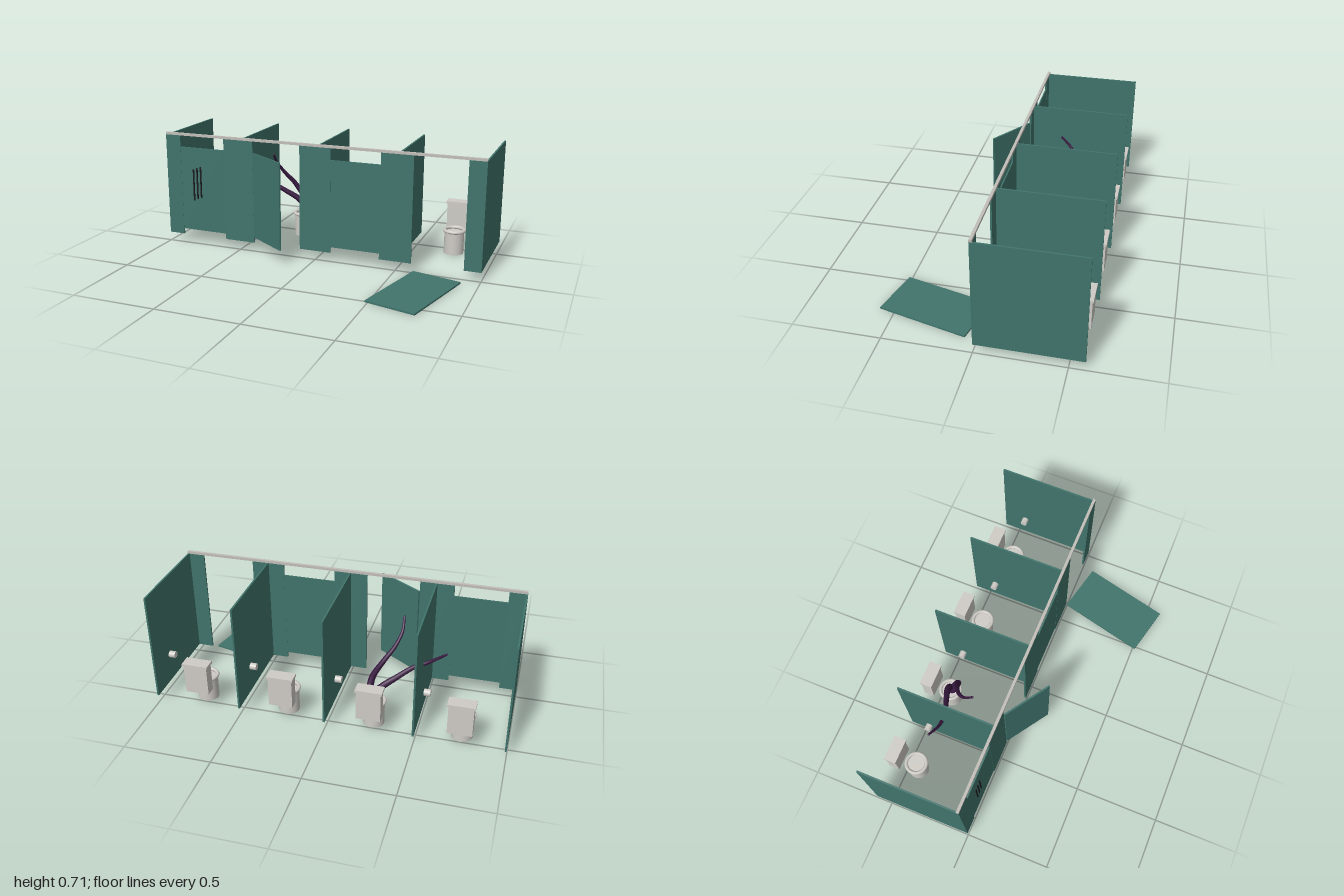
import * as THREE from 'three';

const mat = (name, color, extra = {}) => {
  const m = new THREE.MeshStandardMaterial({ color, ...extra });
  m.name = name;
  return m;
};

export function createModel() {
  const teal = mat('tealPanel', 0x40746c);
  const porcelain = mat('porcelain', 0xcfccc6);
  const steel = mat('railMetal', 0xc2beb8);
  const black = mat('scratchBlack', 0x1a1a1c);
  const purple = mat('tentaclePurple', 0x3a1a42);

  const model = new THREE.Group();
  model.name = 'restroomStalls';

  const add = (parent, name, geometry, material, x, y, z) => {
    const mesh = new THREE.Mesh(geometry, material);
    mesh.name = name;
    mesh.position.set(x, y, z);
    parent.add(mesh);
    return mesh;
  };
  // Box given by its limits on each axis
  const box = (parent, name, material, [x0, x1], [y0, y1], [z0, z1]) =>
    add(parent, name, new THREE.BoxGeometry(x1 - x0, y1 - y0, z1 - z0), material,
      (x0 + x1) / 2, (y0 + y1) / 2, (z0 + z1) / 2);

  // Side partitions
  for (const x of [-0.995, -0.4975, 0, 0.4975, 0.995])
    box(model, 'partition', teal, [x - 0.005, x + 0.005], [0.055, 0.693], [-0.587, -0.008]);

  // Front posts and the rail along their tops
  for (const span of [[-1, -0.9], [-0.6, -0.405], [-0.1, 0.095], [0.4, 0.592], [0.9, 1]])
    box(model, 'frontPost', teal, span, [0.055, 0.693], [-0.01, 0]);
  box(model, 'topRail', steel, [-1, 1], [0.693, 0.708], [-0.016, 0]);

  // Closed doors
  for (const span of [[-0.9, -0.6], [0.095, 0.4]])
    box(model, 'closedDoor', teal, span, [0.09, 0.622], [-0.009, -0.001]);

  // Door ajar, turned about its hinge
  const ajar = new THREE.Group();
  ajar.name = 'openDoor';
  ajar.position.set(-0.4, 0, 0);
  ajar.rotation.y = -0.593;
  box(ajar, 'openDoorPanel', teal, [0, 0.298], [0.09, 0.622], [-0.005, 0.005]);
  model.add(ajar);

  // Door torn off and lying on the floor
  const fallen = add(model, 'fallenDoor', new THREE.BoxGeometry(0.3, 0.01, 0.53), teal, 0.692, 0.007, 0.292);
  fallen.rotation.y = -0.237;

  // Claw marks on the first door
  for (let i = 0; i < 3; i++)
    box(model, 'clawMark', black, [-0.819 + i * 0.025, -0.81 + i * 0.025],
      [0.285 + i * 0.01, 0.485 + i * 0.01], [-0.003, 0.003]);

  // Toilets and paper rolls
  for (const x of [-0.746, -0.249, 0.249, 0.746]) {
    const toilet = new THREE.Group();
    toilet.name = 'toilet';
    toilet.position.set(x, 0, 0);
    add(toilet, 'bowl', new THREE.CylinderGeometry(0.06, 0.06, 0.135, 24), porcelain, 0, 0.0675, -0.437);
    const seat = add(toilet, 'seat', new THREE.TorusGeometry(0.06, 0.011, 8, 28), porcelain, 0, 0.144, -0.437);
    seat.rotation.x = Math.PI / 2;
    box(toilet, 'tank', porcelain, [-0.068, 0.068], [0.113, 0.285], [-0.582, -0.52]);
    box(toilet, 'tankLid', porcelain, [-0.075, 0.075], [0.285, 0.3], [-0.588, -0.514]);
    const roll = add(toilet, 'paperRoll', new THREE.CylinderGeometry(0.02, 0.02, 0.037, 16), porcelain,
      0.203, 0.25, -0.437);
    roll.rotation.z = Math.PI / 2;
    model.add(toilet);
  }

  // Tentacles: tubes narrowed from root to tip
  const tentacle = (points, rootRadius, tipRadius) => {
    const curve = new THREE.CatmullRomCurve3(points.map((p) => new THREE.Vector3(...p)));
    const steps = 48, sides = 10;
    const geometry = new THREE.TubeGeometry(curve, steps, 1, sides);
    const pos = geometry.attributes.position;
    const v = new THREE.Vector3();
    for (let i = 0; i < pos.count; i++) {
      const t = Math.floor(i / (sides + 1)) / steps;
      const centre = curve.getPointAt(t);
      v.fromBufferAttribute(pos, i).sub(centre)
        .multiplyScalar(THREE.MathUtils.lerp(rootRadius, tipRadius, t)).add(centre);
      pos.setXYZ(i, v.x, v.y, v.z);
    }
    geometry.computeBoundingSphere();
    add(model, 'tentacle', geometry, purple, 0, 0, 0);
    add(model, 'tentacleTip', new THREE.SphereGeometry(tipRadius, 10, 8), purple, ...points[points.length - 1]);
  };
  tentacle([[-0.24, 0.12, -0.44], [-0.25, 0.19, -0.44], [-0.29, 0.24, -0.43], [-0.36, 0.29, -0.4],
    [-0.45, 0.35, -0.363], [-0.53, 0.39, -0.352], [-0.625, 0.465, -0.37]], 0.023, 0.006);
  tentacle([[-0.25, 0.12, -0.43], [-0.22, 0.19, -0.41], [-0.225, 0.26, -0.385], [-0.28, 0.36, -0.36],
    [-0.335, 0.44, -0.315], [-0.363, 0.51, -0.265], [-0.36, 0.57, -0.21]], 0.023, 0.006);

  return model;
}
